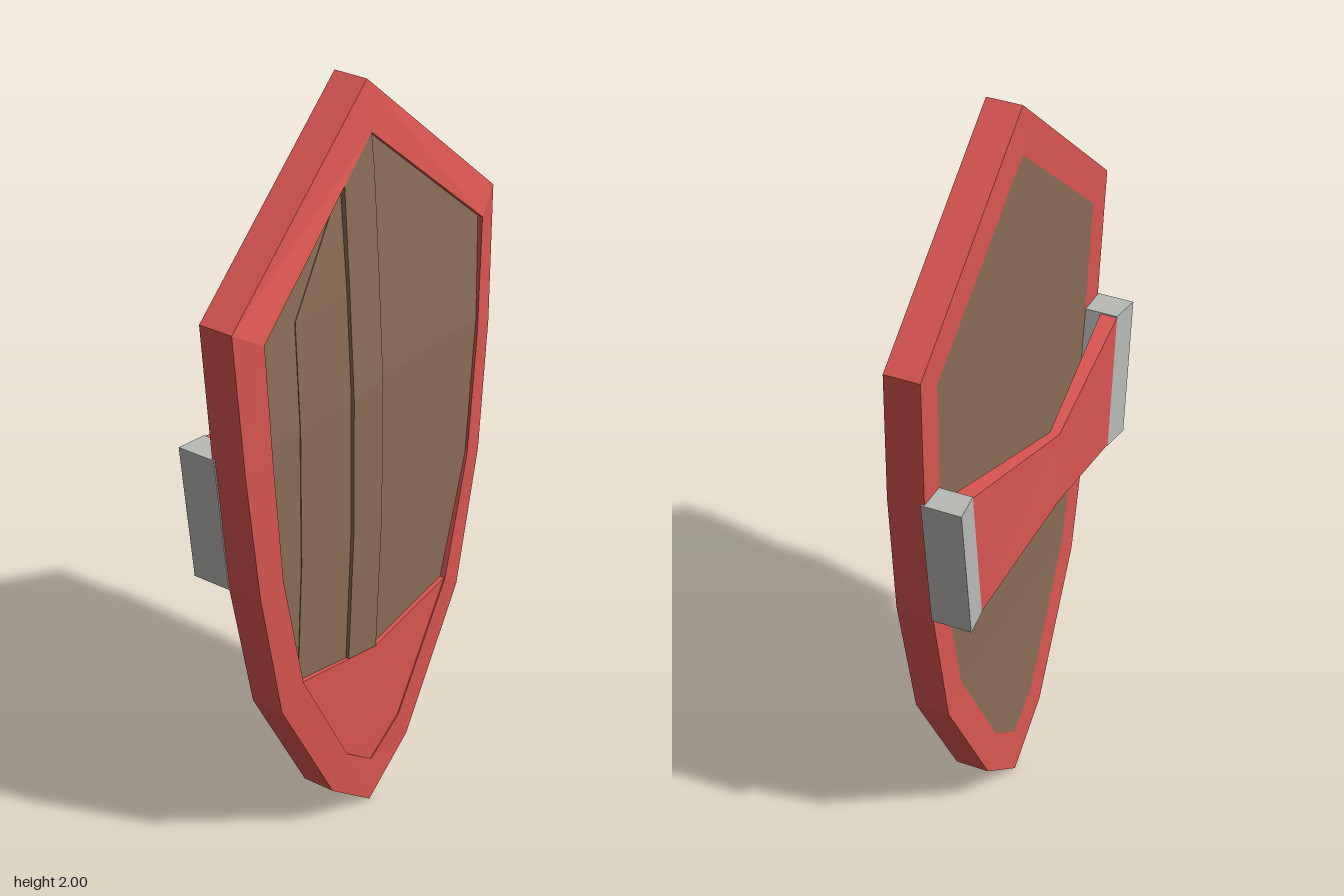
import * as THREE from 'three';

const mat = (name, color) => {
  const m = new THREE.MeshStandardMaterial({ color });
  m.name = name;
  return m;
};

// Skins a row of equal-sized convex cross-sections; 'ring' joins last to first, otherwise ends are capped.
function loft(sections, ring = false) {
  const n = sections[0].length, tris = [];
  const steps = ring ? sections.length : sections.length - 1;
  for (let i = 0; i < steps; i++) {
    const a = sections[i], b = sections[(i + 1) % sections.length];
    for (let j = 0; j < n; j++) {
      const k = (j + 1) % n;
      tris.push([a[j], b[j], b[k]], [a[j], b[k], a[k]]);
    }
  }
  if (!ring) {
    const first = sections[0], last = sections[sections.length - 1];
    for (let j = 1; j < n - 1; j++) {
      tris.push([first[0], first[j], first[j + 1]], [last[0], last[j + 1], last[j]]);
    }
  }
  // Signed volume tells whether the faces point outward
  let volume = 0;
  for (const [a, b, c] of tris) {
    volume += new THREE.Vector3(...a).dot(new THREE.Vector3(...b).cross(new THREE.Vector3(...c)));
  }
  const pos = tris.flatMap(t => (volume < 0 ? [t[0], t[2], t[1]] : t).flat());
  const g = new THREE.BufferGeometry();
  g.setAttribute('position', new THREE.Float32BufferAttribute(pos, 3));
  g.computeVertexNormals();
  return g;
}

// Linear lookup in rows of [y, value], y descending
function lookup(rows, y) {
  for (let i = 0; i < rows.length - 1; i++) {
    const [y0, v0] = rows[i], [y1, v1] = rows[i + 1];
    if (y <= y0 && y >= y1) return v0 + (v1 - v0) * (y0 - y) / (y0 - y1);
  }
  return rows[rows.length - 1][1];
}

export function createModel() {
  const group = new THREE.Group();
  const red = mat('red paint', 0xda5652);
  const wood = mat('brown wood', 0x8a6c57);
  const steel = mat('grey metal', 0xb7bab5);
  const add = (name, geometry, material) => {
    const m = new THREE.Mesh(geometry, material);
    m.name = name;
    group.add(m);
  };

  // Half outline: outer x, y, inner x, y, outer front z, inner front z, back z
  const half = [
    [0, 2, 0, 1.873, 0.07, 0.084, -0.022],
    [0.513, 1.56, 0.43, 1.51, 0.08, 0.106, -0.013],
    [0.49, 1.2, 0.412, 1.2, 0.092, 0.112, -0.004],
    [0.45, 0.85, 0.38, 0.87, 0.098, 0.112, 0.002],
    [0.37, 0.48, 0.3, 0.535, 0.095, 0.107, 0.005],
    [0.16, 0.12, 0.11, 0.21, 0.09, 0.099, 0],
    [0, 0, 0, 0.13, 0.088, 0.093, -0.002],
  ];

  // Rim: a four-cornered section carried around the outline
  const rimSection = (r, s) => [
    [s * r[0], r[1], r[4]], [s * r[2], r[3], r[5]],
    [s * r[2], r[3], r[6]], [s * r[0], r[1], r[6]],
  ];
  add('rim', loft([
    ...half.map(r => rimSection(r, 1)),
    ...half.slice(1, -1).reverse().map(r => rimSection(r, -1)),
  ], true), red);

  // Back panel with a faint central ridge
  add('backPanel', loft(half.map(r => [
    [-r[2], r[3], r[6]], [0, r[3], r[6] - 0.01 * r[2]], [r[2], r[3], r[6]],
    [r[2], r[3], 0.04], [-r[2], r[3], 0.04],
  ])), wood);

  // Front planks, clipped to the inside of the rim; the middle one stands proud
  const widths = half.map(r => [r[3], r[2]]);
  const bulge = [[1.873, 0.079], [1.51, 0.1], [1.24, 0.113], [0.87, 0.113], [0.45, 0.096]];
  const plankRows = [1.873, 1.78, 1.51, 1.24, 0.87, 0.535, 0.46];
  const plank = (x0, x1, lift0, lift1) => loft(plankRows.map(y => {
    const w = lookup(widths, y), z = lookup(bulge, y);
    const a = THREE.MathUtils.clamp(x0, -w, w), b = THREE.MathUtils.clamp(x1, -w, w);
    return [[a, y, z + lift0], [b, y, z + lift1], [b, y, 0.045], [a, y, 0.045]];
  }));
  add('middlePlank', plank(-0.11, 0.005, 0.005, 0.005), wood);
  add('leftPlank', plank(0.005, 0.3, -0.006, -0.008), wood);
  add('leftEdgePlank', plank(0.3, 1, -0.008, -0.008), wood);
  add('rightPlank', plank(-0.3, -0.11, -0.008, -0.004), wood);
  add('rightEdgePlank', plank(-1, -0.3, -0.01, -0.01), wood);

  for (const [side, s] of [['left', 1], ['right', -1]]) {
    // Red plate over the lower tip, one half per side, with a V-shaped upper edge
    const tipSection = (w, ySide, yMid, z) => [
      [0, yMid, z], [s * w, ySide, z], [s * w, ySide, 0.045], [0, yMid, 0.045],
    ];
    add(side + 'TipPlate', loft([
      tipSection(0.3, 0.535, 0.482, 0.104),
      tipSection(0.11, 0.21, 0.2, 0.096),
      tipSection(0, 0.13, 0.13, 0.091),
    ]), red);

    // Metal bracket holding the strap, leaning inward with the rim
    const bracketSection = (y, dx) =>
      [[0.495, 0.004], [0.495, -0.1], [0.415, -0.09], [0.415, 0.004]]
        .map(([x, z]) => [s * (x - dx), y, z]);
    add(side + 'Bracket', loft([bracketSection(1.21, 0), bracketSection(0.84, 0.043)]), steel);
  }

  // Arm strap: tall at the ends, narrow in the middle, ends leaning with the brackets
  const strapSection = (xTop, xBottom, zBack, zFront, h) => [
    [xTop, 1.025 + h, zBack], [xBottom, 1.025 - h, zBack],
    [xBottom, 1.025 - h, zFront], [xTop, 1.025 + h, zFront],
  ];
  add('armStrap', loft([
    strapSection(-0.416, -0.376, -0.09, -0.045, 0.182),
    strapSection(0, 0, -0.12, -0.095, 0.1),
    strapSection(0.416, 0.376, -0.09, -0.045, 0.182),
  ]), red);
  return group;
}
